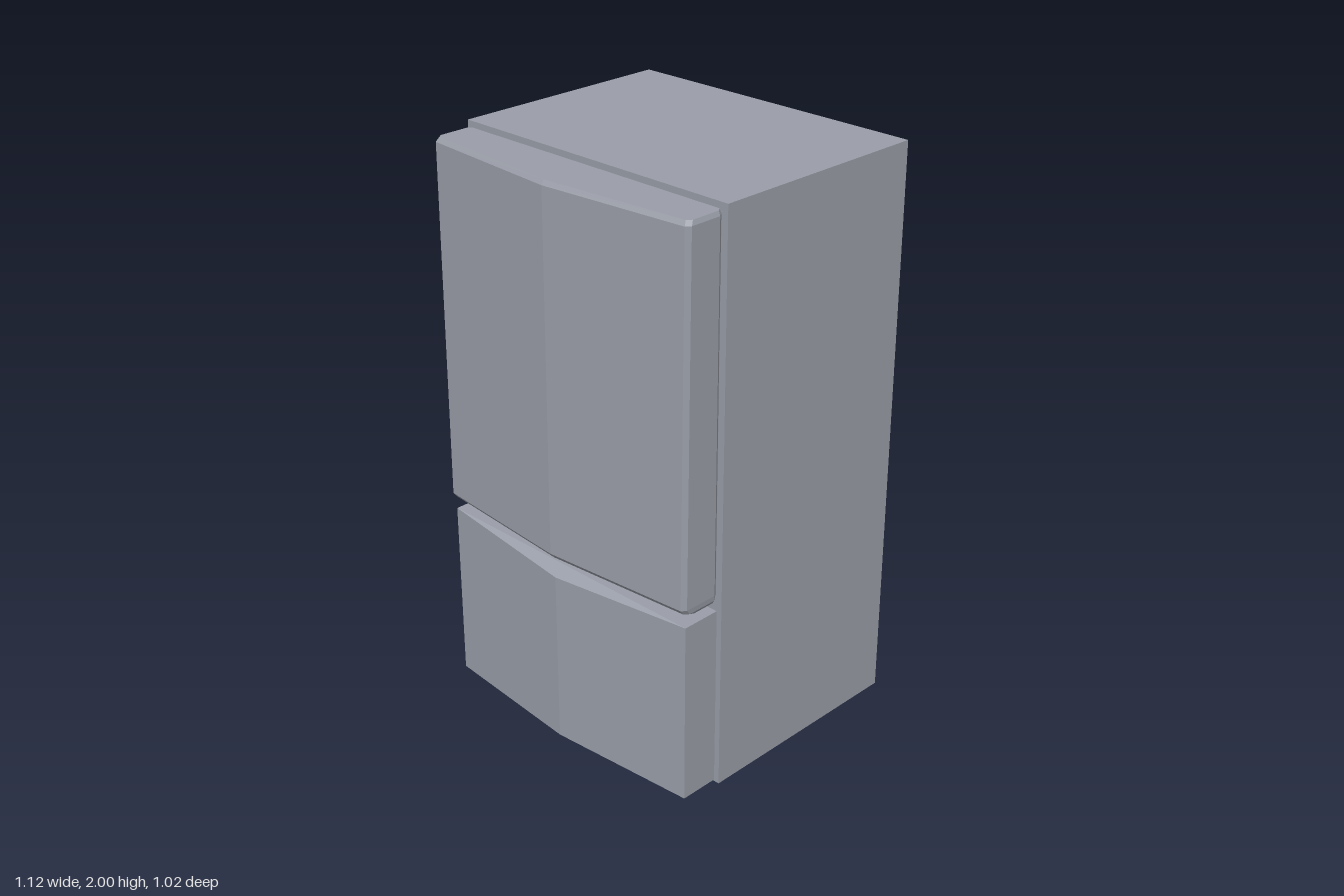
import * as THREE from 'three';

// Closed solid through stacked rings, each running counter-clockwise seen from above
function loft(rings) {
  const pos = [];
  const tri = (...pts) => pts.forEach((p) => pos.push(...p));
  const n = rings[0].length;
  const top = rings[rings.length - 1];
  for (let r = 0; r < rings.length - 1; r++) {
    for (let i = 0; i < n; i++) {
      const j = (i + 1) % n;
      const [a, b, c, d] = [rings[r][i], rings[r][j], rings[r + 1][j], rings[r + 1][i]];
      tri(a, b, c);
      tri(a, c, d);
    }
  }
  for (let i = 1; i < n - 1; i++) {
    tri(top[0], top[i], top[i + 1]);
    tri(rings[0][0], rings[0][i + 1], rings[0][i]);
  }
  const geometry = new THREE.BufferGeometry();
  geometry.setAttribute('position', new THREE.Float32BufferAttribute(pos, 3));
  geometry.computeVertexNormals();
  return geometry;
}

export function createModel() {
  const model = new THREE.Group();
  model.name = 'refrigerator';
  const steel = new THREE.MeshStandardMaterial({ color: 0x9a9ea8 });
  steel.name = 'steel grey';

  const add = (name, geometry) => {
    const mesh = new THREE.Mesh(geometry, steel);
    mesh.name = name;
    model.add(mesh);
  };
  const box = (name, x0, x1, y0, y1, z0, z1) => add(name, new THREE.BoxGeometry(x1 - x0, y1 - y0, z1 - z0)
    .translate((x0 + x1) / 2, (y0 + y1) / 2, (z0 + z1) / 2));

  // Cabinet, base plate and door seal
  box('cabinet', -0.56, 0.56, 0.01, 2, -0.51, 0.3);
  box('basePlate', -0.48, 0.48, 0, 0.01, -0.23, 0.3);
  box('doorSeal', -0.53, 0.535, 0.72, 1.97, 0.3, 0.318);

  // Upper door: bowed front, softened edges, leaning slightly back towards the top
  const left = -0.54, right = 0.556;
  const doorRing = (y, inset, back) => {
    const l = left + inset, r = right - inset, c = 0.008;
    return [
      [r, y, 0.45 - back], [r, y, 0.328], [r - 0.01, y, 0.313], [l + 0.01, y, 0.313],
      [l, y, 0.328], [l, y, 0.45 - back], [l + 0.012, y, 0.466 - back],
      [c, y, 0.51 - back], [r - 0.012, y, 0.466 - back],
    ];
  };
  add('upperDoor', loft([
    doorRing(0.705, 0.008, 0.04),
    doorRing(0.716, 0.002, 0.015),
    doorRing(0.735, 0, 0),
    doorRing(1.97, 0, 0.008),
    doorRing(1.985, 0.006, 0.018),
  ]));

  // Freezer drawer: bowed front whose top dips towards the middle
  const drawerRing = (y, dip) => [
    [0.54, y, 0.44], [0.54, y, 0.3], [-0.545, y, 0.3], [-0.545, y, 0.44], [0, y - dip, 0.485],
  ];
  add('freezerDrawer', loft([drawerRing(0.015, 0), drawerRing(0.66, 0.027)]));

  // Grip strip above the drawer
  box('gripStrip', -0.475, 0.475, 0.66, 0.674, 0.3, 0.308);

  return model;
}
